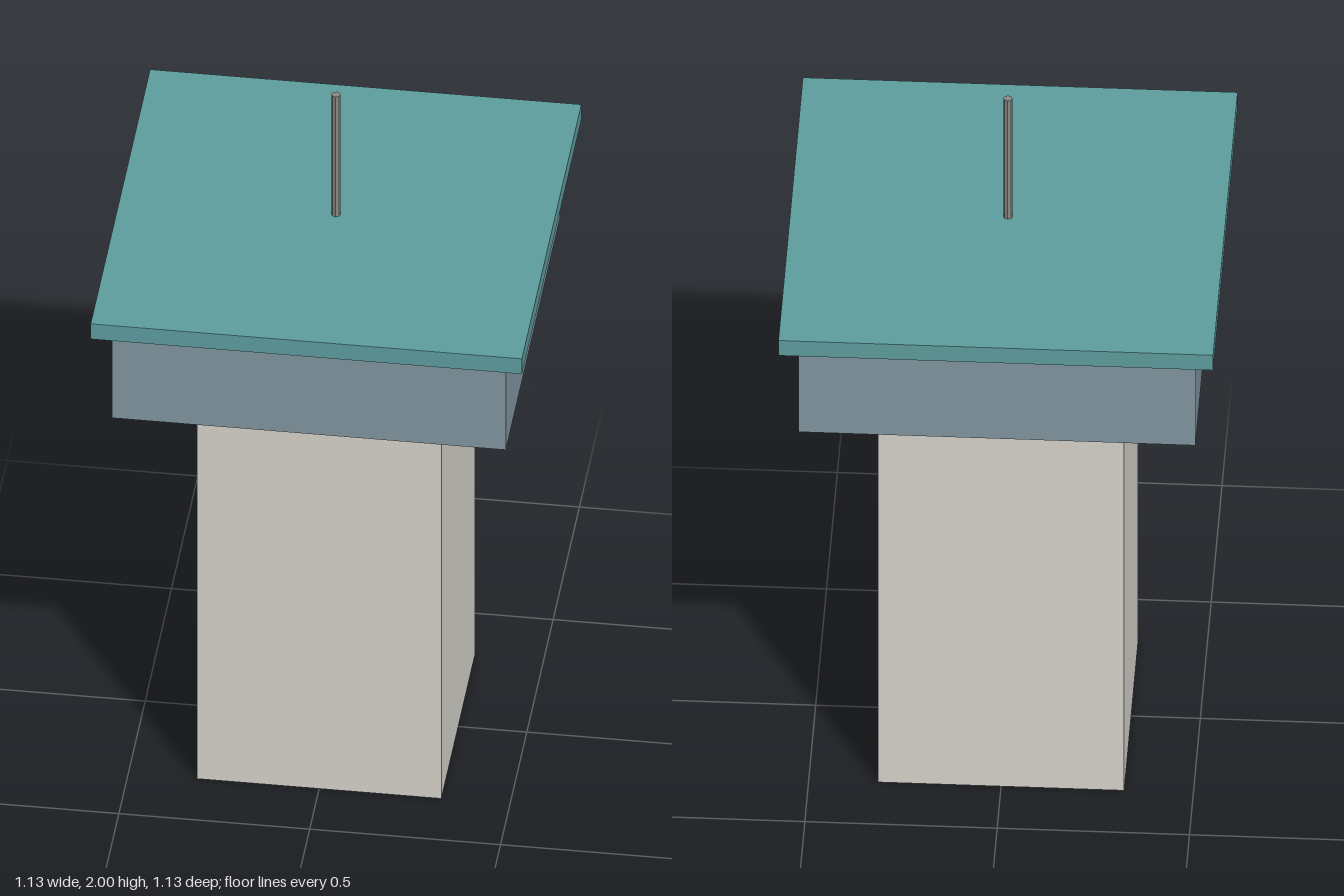
import * as THREE from 'three';

export function createModel() {
  const tower = new THREE.Group();
  tower.name = 'watchTower';

  const add = (name, geometry, color, bottom, height) => {
    const mesh = new THREE.Mesh(geometry, new THREE.MeshStandardMaterial({ color, flatShading: true }));
    mesh.name = name;
    mesh.position.y = bottom + height / 2;
    tower.add(mesh);
  };

  // Square blocks stacked upwards: name, width, bottom, top, color
  const blocks = [
    ['shaft', 0.64, 0, 1.282, 0xd8d5cd],
    ['cabin', 1.032, 1.282, 1.566, 0x8297a2],
    ['roof', 1.13, 1.566, 1.615, 0x5f9ea0],
  ];
  for (const [name, width, bottom, top, color] of blocks) {
    add(name, new THREE.BoxGeometry(width, top - bottom, width), color, bottom, top - bottom);
  }

  // Thin mast on the roof
  add('mast', new THREE.CylinderGeometry(0.012, 0.012, 0.385, 8), 0x888888, 1.615, 0.385);

  return tower;
}
